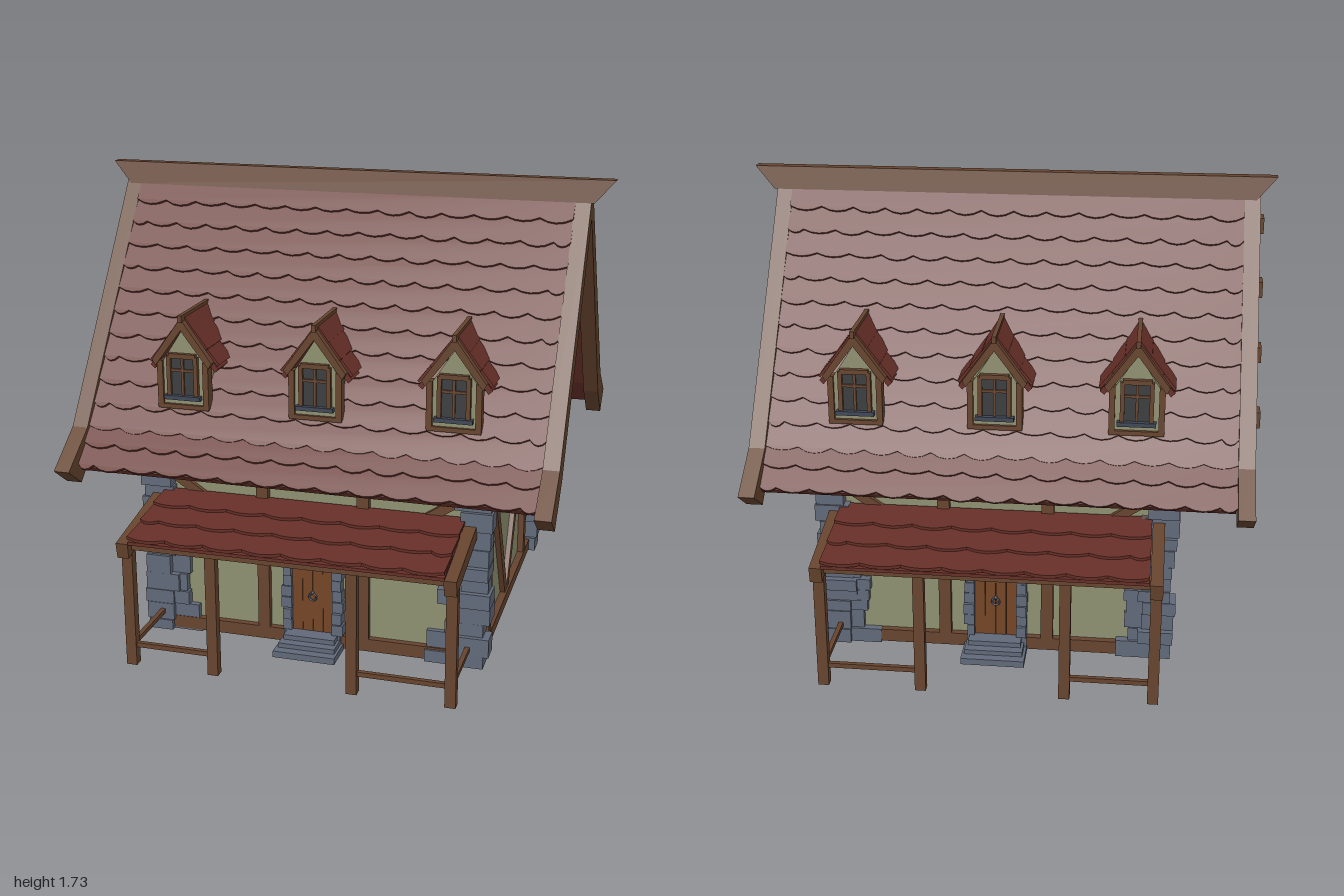
import * as THREE from 'three';

const mat = (name, color) => Object.assign(new THREE.MeshStandardMaterial({ color }), { name });
const plaster = mat('plaster', 0x8e9070);
const wood = mat('timber', 0x66442e);
const red = mat('roofTile', 0x662f27);
const stone = mat('stone', 0x616979);
const glass = mat('glass', 0x3b3d3e);
const doorWood = mat('doorWood', 0x734526);
const iron = mat('iron', 0x3f4756);

let seed = 7;
const rnd = () => (seed = (seed * 16807) % 2147483647) / 2147483647;
const vary = (v, r) => v + (rnd() - 0.5) * 2 * r;

function add(g, name, geo, m, x = 0, y = 0, z = 0) {
  const mesh = new THREE.Mesh(geo, m);
  mesh.name = name;
  mesh.position.set(x, y, z);
  g.add(mesh);
  return mesh;
}
// box given by its extents
function box(g, name, m, x0, x1, y0, y1, z0, z1) {
  return add(g, name, new THREE.BoxGeometry(x1 - x0, y1 - y0, z1 - z0), m, (x0 + x1) / 2, (y0 + y1) / 2, (z0 + z1) / 2);
}
// straight timber between two points of an upright plane
function bar(g, name, m, x1, y1, x2, y2, w, z0, z1) {
  const mesh = add(g, name, new THREE.BoxGeometry(Math.hypot(x2 - x1, y2 - y1), w, z1 - z0), m, (x1 + x2) / 2, (y1 + y2) / 2, (z0 + z1) / 2);
  mesh.rotation.z = Math.atan2(y2 - y1, x2 - x1);
  return mesh;
}
const poly = pts => new THREE.Shape(pts.map(p => new THREE.Vector2(...p)));
const slab = (pts, depth) => new THREE.ExtrudeGeometry(poly(pts), { depth, bevelEnabled: false });
const mirrored = half => [...half, ...half.slice().reverse().filter(p => p[0] !== 0).map(([x, y]) => [-x, y])];

// overlapping rows of round-ended tiles on a slope from (y0,z0) down to (y1,z1)
function tileSlope(g, name, xa, xb, y0, z0, y1, z1, rows, period) {
  const slope = new THREE.Group();
  slope.name = name;
  const len = Math.hypot(y1 - y0, z1 - z0), h = len / rows;
  slope.position.set(0, y0, z0);
  slope.rotation.x = Math.atan2(z0 - z1, y0 - y1);
  for (let r = 0; r < rows; r++) {
    const s = new THREE.Shape(), n = Math.round((xb - xa) / period), p = (xb - xa) / n;
    s.moveTo(xb, 0.01);
    s.lineTo(xa, 0.01);
    s.lineTo(xa, -h);
    const shift = r % 2 ? p / 2 : 0;
    let x = xa;
    for (let i = 0; x < xb - 1e-4; i++) {
      const nx = Math.min(xb, xa + shift + p * (shift ? i : i + 1));
      if (nx > x) s.quadraticCurveTo((x + nx) / 2, -h - vary(0.036, 0.008), nx, -h);
      x = nx;
    }
    const geo = new THREE.ExtrudeGeometry(s, { depth: 0.012, bevelEnabled: false, curveSegments: 4 });
    add(slope, 'tileRow', geo, red, 0, -r * h, 0).rotation.x = -0.012 / h * 0.9;
  }
  g.add(slope);
}

// window with frame, cross bars and sill, facing +z
function windowUnit(g, x, y0, y1, w, z) {
  box(g, 'windowGlass', glass, x - w, x + w, y0, y1, z, z + 0.006);
  for (const s of [-1, 1]) box(g, 'windowFrame', wood, x + s * w - 0.008, x + s * w + 0.008, y0, y1, z, z + 0.018);
  box(g, 'windowHead', wood, x - w, x + w, y1 - 0.008, y1 + 0.01, z, z + 0.018);
  box(g, 'windowMullion', wood, x - 0.005, x + 0.005, y0, y1, z, z + 0.013);
  box(g, 'windowCrossBar', wood, x - w, x + w, (y0 + y1) / 2 + 0.018, (y0 + y1) / 2 + 0.028, z, z + 0.013);
  box(g, 'windowSill', iron, x - w - 0.018, x + w + 0.018, y0 - 0.012, y0 + 0.004, z, z + 0.025);
}

function dormer(g, x) {
  const d = new THREE.Group();
  d.name = 'dormer';
  d.position.x = x;
  add(d, 'dormerWall', slab(mirrored([[0, 1.2], [0.085, 1.07], [0.085, 0.9]]), 0.22), plaster, 0, 0, 0.34);
  for (const s of [-1, 1]) box(d, 'dormerPost', wood, s * 0.09 - 0.011, s * 0.09 + 0.011, 0.9, 1.08, 0.53, 0.572);
  box(d, 'dormerBase', wood, -0.1, 0.1, 0.895, 0.912, 0.53, 0.572);
  add(d, 'dormerRoof', slab([[0, 1.238], [-0.135, 1.055], [-0.12, 1.04], [0, 1.2], [0.12, 1.04], [0.135, 1.055]], 0.26), red, 0, 0, 0.29);
  // raised tile steps
  [0.045, 0.09, 0.135].forEach((e, i) => {
    for (const s of [-1, 1]) bar(d, 'dormerTileRow', red, s * (e - 0.045), 1.248 - (e - 0.045) * 1.36, s * e, 1.243 - e * 1.29, 0.01, 0.32 + i * 0.05, 0.55);
  });
  add(d, 'dormerGableTrim', slab([[0, 1.246], [-0.118, 1.082], [-0.105, 1.06], [0, 1.2], [0.105, 1.06], [0.118, 1.082]], 0.028), wood, 0, 0, 0.55);
  box(d, 'dormerRidge', wood, -0.008, 0.008, 1.232, 1.258, 0.29, 0.585);
  windowUnit(d, 0, 0.945, 1.1, 0.053, 0.56);
  g.add(d);
}

// long side with door, porch, stone corners, roof slope and dormers; s flips the uneven porch posts
function longSide(s) {
  const g = new THREE.Group();
  g.name = s > 0 ? 'frontSide' : 'backSide';
  box(g, 'longWall', plaster, -0.62, 0.62, 0.02, 0.76, 0.56, 0.58);
  box(g, 'sill', wood, -0.62, 0.62, 0.008, 0.058, 0.55, 0.605);
  box(g, 'midRail', wood, -0.57, 0.57, 0.38, 0.417, 0.57, 0.603);
  box(g, 'wallPlate', wood, -0.62, 0.62, 0.7, 0.75, 0.55, 0.605);
  for (const k of [-1, 1]) {
    box(g, 'wallPost', wood, k * 0.195 - 0.023, k * 0.195 + 0.023, 0.05, 0.72, 0.57, 0.605);
    bar(g, 'wallBrace', wood, k * 0.59, 0.67, k * 0.215, 0.42, 0.036, 0.57, 0.598);
    // corner stones
    for (let y = 0; y < 0.73;) {
      const h = Math.min(vary(0.06, 0.018), 0.745 - y), i = vary(0.55, 0.02), o = vary(0.668, 0.014);
      box(g, 'cornerStone', stone, Math.min(k * i, k * o), Math.max(k * i, k * o), y + 0.002, y + h, vary(0.525, 0.025), vary(0.618, 0.013));
      if (y < 0.29) {
        const e = vary(0.5, 0.02) - (y < 0.05 ? 0.05 : 0);
        box(g, 'buttressStone', stone, Math.min(k * e, k * 0.58), Math.max(k * e, k * 0.58), y + 0.002, y + h, 0.565, vary(0.607, 0.008));
      }
      y += h;
    }
    // door surround
    for (let i = 0; i < 7; i++) {
      const e = k * vary(0.115, 0.008);
      box(g, 'doorJambStone', stone, Math.min(k * 0.08, e), Math.max(k * 0.08, e), 0.02 + i * 0.045, 0.062 + i * 0.045, 0.55, vary(0.62, 0.006));
    }
  }
  for (let i = 0; i < 5; i++) box(g, 'doorLintelStone', stone, -0.115 + i * 0.046, -0.072 + i * 0.046, 0.328, vary(0.357, 0.006), 0.55, 0.62);
  box(g, 'doorBacking', stone, -0.1, 0.1, 0.02, 0.34, 0.545, 0.575);
  for (let i = 0; i < 4; i++) box(g, 'doorPlank', doorWood, -0.08 + i * 0.04, -0.041 + i * 0.04, 0.05, 0.33, 0.57, 0.6);
  add(g, 'doorRing', new THREE.TorusGeometry(0.014, 0.004, 6, 14), iron, 0, 0.205, 0.605);
  add(g, 'doorKnob', new THREE.SphereGeometry(0.007, 8, 6), iron, 0, 0.222, 0.604);
  box(g, 'lowerStep', stone, -0.12, 0.12, 0, 0.025, 0.58, 0.73);
  box(g, 'middleStep', stone, -0.11, 0.11, 0.025, 0.043, 0.58, 0.695);
  box(g, 'upperStep', stone, -0.1, 0.1, 0.043, 0.062, 0.58, 0.66);

  // porch
  const posts = [-0.605, -0.285, 0.24, 0.6].map(x => x * s).sort((a, b) => a - b);
  posts.forEach(x => box(g, 'porchPost', wood, x - 0.02, x + 0.02, 0, 0.49, 0.89, 0.925));
  for (const [a, b] of [[0, 1], [2, 3]]) box(g, 'porchRail', wood, posts[a], posts[b], 0.07, 0.088, 0.9, 0.917);
  for (const x of [posts[0], posts[3]]) {
    box(g, 'porchSideRail', wood, x - 0.009, x + 0.009, 0.07, 0.088, 0.6, 0.9);
    add(g, 'porchRafter', slab([[-0.6, 0.57], [-0.965, 0.5], [-0.955, 0.44], [-0.9, 0.455], [-0.6, 0.515]], 0.045), wood, x - 0.0225).rotation.y = Math.PI / 2;
  }
  box(g, 'porchBeam', wood, -0.61, 0.61, 0.465, 0.5, 0.885, 0.93);
  add(g, 'porchRoofBase', slab([[-0.6, 0.565], [-0.965, 0.51], [-0.965, 0.498], [-0.6, 0.55]], 1.16), red, -0.58).rotation.y = Math.PI / 2;
  tileSlope(g, 'porchTiles', -0.582, 0.58, 0.572, 0.6, 0.51, 0.965, 3, 0.145);

  // main roof
  const [xa, xb] = s > 0 ? [-0.88, 0.855] : [-0.855, 0.88];
  tileSlope(g, 'upperRoofTiles', xa, xb, 1.66, 0.015, 0.80, 0.6, 11, 0.125);
  tileSlope(g, 'eaveTiles', xa, xb, 0.815, 0.59, 0.68, 0.71, 2, 0.125);
  for (const x of [-0.51, 0.005, 0.52]) dormer(g, x * s);
  return g;
}

// gable end, built facing +z
function gableSide() {
  const g = new THREE.Group();
  g.name = 'gableSide';
  box(g, 'lowerGableWall', plaster, -0.58, 0.58, 0.02, 0.76, 0.6, 0.62);
  box(g, 'gableSill', wood, -0.6, 0.6, 0.008, 0.052, 0.59, 0.648);
  add(g, 'upperGableWall', slab(mirrored([[0, 1.6], [0.55, 0.77]]), 0.05), plaster, 0, 0, 0.61);
  box(g, 'gableBeam', wood, -0.575, 0.575, 0.745, 0.81, 0.58, 0.7);
  box(g, 'kingPost', wood, -0.024, 0.024, 0.81, 1.57, 0.64, 0.685);
  for (const k of [-1, 1]) {
    box(g, 'gablePost', wood, k * 0.405 - 0.025, k * 0.405 + 0.025, 0.05, 0.75, 0.61, 0.645);
    bar(g, 'gableBrace', wood, k * 0.012, 0.04, k * 0.365, 0.69, 0.045, 0.61, 0.64);
    box(g, 'shortRail', wood, Math.min(k * 0.42, k * 0.55), Math.max(k * 0.42, k * 0.55), 0.18, 0.222, 0.61, 0.64);
    // curved brace
    const s = new THREE.Shape();
    s.moveTo(k * 0.07, 0.8);
    s.bezierCurveTo(k * 0.07, 0.96, k * 0.24, 1.06, k * 0.4, 1.07);
    s.lineTo(k * 0.42, 1.015);
    s.bezierCurveTo(k * 0.28, 1.02, k * 0.11, 0.93, k * 0.11, 0.8);
    add(g, 'curvedBrace', new THREE.ExtrudeGeometry(s, { depth: 0.04, bevelEnabled: false, curveSegments: 8 }), wood, 0, 0, 0.64);
    // jetty joists with brackets
    for (const x of [0.16, 0.35]) {
      box(g, 'joist', wood, k * x - 0.018, k * x + 0.018, 0.7, 0.747, 0.6, 0.77);
      add(g, 'joistBracket', slab([[-0.6, 0.71], [-0.74, 0.71], [-0.67, 0.635], [-0.6, 0.63]], 0.03), wood, k * x - 0.015).rotation.y = Math.PI / 2;
    }
  }
  // round window
  add(g, 'roundGlass', new THREE.CylinderGeometry(0.08, 0.08, 0.05, 24), glass, 0, 1.03, 0.67).rotation.x = Math.PI / 2;
  add(g, 'roundFrame', new THREE.TorusGeometry(0.08, 0.015, 8, 24), wood, 0, 1.03, 0.69);
  box(g, 'roundUprightBar', wood, -0.006, 0.006, 0.955, 1.105, 0.69, 0.702);
  box(g, 'roundCrossBar', wood, -0.075, 0.075, 1.024, 1.036, 0.69, 0.702);
  return g;
}

export function createModel() {
  const house = new THREE.Group();
  house.name = 'house';
  house.add(longSide(1));
  const back = longSide(-1);
  back.rotation.y = Math.PI;
  house.add(back);
  for (const s of [-1, 1]) {
    const gable = gableSide();
    gable.rotation.y = s * Math.PI / 2;
    house.add(gable);
  }
  // roof deck and bargeboards share a bent profile
  const deck = [[0, 1.665], [0.595, 0.802], [0.715, 0.682], [0.7, 0.663], [0.575, 0.775], [0, 1.615], [-0.575, 0.775], [-0.7, 0.663], [-0.715, 0.682], [-0.595, 0.802]];
  const barge = [[0, 1.705], [0.635, 0.81], [0.807, 0.688], [0.708, 0.615], [0.565, 0.745], [0, 1.585], [-0.565, 0.745], [-0.708, 0.615], [-0.807, 0.688], [-0.635, 0.81]];
  add(house, 'roofDeck', slab(deck, 1.73), red, -0.875).rotation.y = Math.PI / 2;
  for (const x of [-0.94, 0.852]) add(house, 'bargeboard', slab(barge, 0.061), wood, x).rotation.y = Math.PI / 2;

  // ridge cap, narrower on top and flared at its ends
  const ridge = new THREE.BoxGeometry(2, 0.085, 0.08), p = ridge.attributes.position;
  for (let i = 0; i < p.count; i++) {
    if (p.getY(i) < 0) p.setX(i, p.getX(i) * 0.925);
    else p.setZ(i, p.getZ(i) * 0.55);
  }
  ridge.computeVertexNormals();
  add(house, 'ridgeCap', ridge, wood, 0, 1.692, 0);

  // purlins reaching out past the model's right gable
  for (const [y, z] of [[1.55, 0], [1.34, 0.14], [1.13, 0.28], [0.93, 0.43]])
    for (const s of z ? [-1, 1] : [1]) box(house, 'purlin', wood, -0.957, -0.6, y - 0.03, y + 0.03, s * z - 0.035, s * z + 0.035);

  // ceiling and its joists
  box(house, 'ceiling', plaster, -0.6, 0.6, 0.735, 0.75, -0.56, 0.56);
  for (const x of [-0.35, 0, 0.35]) box(house, 'ceilingJoist', wood, x - 0.03, x + 0.03, 0.69, 0.737, -0.56, 0.56);
  return house;
}
